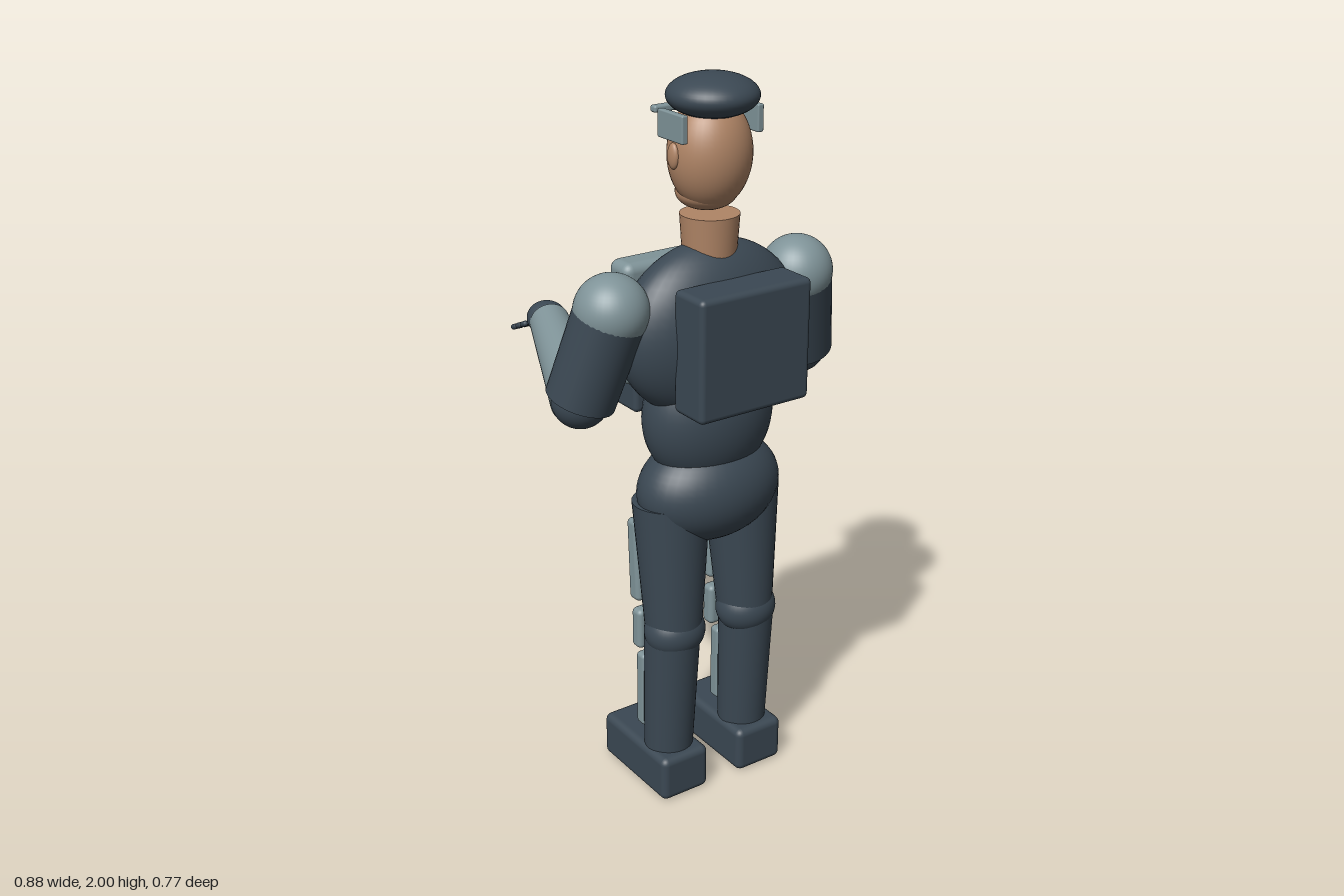
import * as THREE from 'three';
import { RoundedBoxGeometry } from 'three/addons/geometries/RoundedBoxGeometry.js';

const material = (name, color) => {
  const m = new THREE.MeshStandardMaterial({ color });
  m.name = name;
  return m;
};

export function createModel() {
  const model = new THREE.Group();
  model.name = 'armouredSoldier';
  const dark = material('dark slate cloth', 0x3b4853);
  const armour = material('grey armour', 0x7f9398);
  const skin = material('skin', 0xb08566);
  const copper = material('copper tag', 0xa86c40);
  const black = material('black', 0x1d2126);
  const white = material('eye white', 0xc4ccd0);
  const blue = material('iris blue', 0x3f6a86);

  const add = (name, geometry, mat, p = [0, 0, 0], parent = model) => {
    const mesh = new THREE.Mesh(geometry, mat);
    mesh.name = name;
    mesh.position.set(...p);
    parent.add(mesh);
    return mesh;
  };
  const ball = (name, mat, p, r, parent) => {
    const mesh = add(name, new THREE.SphereGeometry(1, 40, 28), mat, p, parent);
    mesh.scale.set(...r);
    return mesh;
  };
  const box = (name, mat, p, s, r = 0.015, parent) =>
    add(name, new RoundedBoxGeometry(...s, 3, r), mat, p, parent);
  // Tapered limb from point a to point b
  const limb = (name, mat, a, b, ra, rb, parent) => {
    const from = new THREE.Vector3(...a), to = new THREE.Vector3(...b);
    const dir = to.clone().sub(from);
    const mesh = add(name, new THREE.CylinderGeometry(rb, ra, dir.length(), 36), mat,
      from.clone().add(to).multiplyScalar(0.5).toArray(), parent);
    mesh.quaternion.setFromUnitVectors(new THREE.Vector3(0, 1, 0), dir.normalize());
    return mesh;
  };

  // Torso; the figure looks towards -z
  ball('chest', dark, [0, 1.345, 0.18], [0.27, 0.235, 0.133]);
  ball('abdomen', dark, [0, 1.11, 0.177], [0.19, 0.2, 0.133]);
  ball('pelvis', dark, [0, 0.9, 0.183], [0.21, 0.15, 0.146]);
  box('backpack', dark, [0, 1.338, 0.325], [0.34, 0.325, 0.122], 0.015);
  box('chestPlate', armour, [0, 1.355, 0.055], [0.4, 0.33, 0.09], 0.025);
  box('chestTag', copper, [0.11, 1.43, 0.008], [0.06, 0.022, 0.009], 0.003);
  for (const x of [-0.115, 0, 0.115])
    box('pouch', dark, [x, 1.175, 0.028], [0.098, 0.145, 0.105], 0.014);

  // Neck and head
  limb('neck', skin, [0, 1.54, 0.178], [0, 1.647, 0.178], 0.07, 0.077);
  const head = new THREE.Group();
  head.name = 'head';
  model.add(head);
  ball('skull', skin, [0, 1.8, 0.176], [0.11, 0.145, 0.103], head);
  ball('jaw', skin, [0, 1.7, 0.163], [0.08, 0.046, 0.079], head);
  ball('noseTip', skin, [0, 1.785, 0.06], [0.017, 0.014, 0.018], head);
  limb('noseBridge', skin, [0, 1.785, 0.068], [0, 1.85, 0.083], 0.013, 0.007, head);
  for (const s of [-1, 1]) {
    ball('ear', skin, [s * 0.109, 1.805, 0.175], [0.012, 0.033, 0.02], head);
    ball('eye', white, [s * 0.04, 1.825, 0.083], [0.018, 0.009, 0.006], head);
    ball('iris', blue, [s * 0.04, 1.825, 0.079], [0.008, 0.008, 0.004], head);
    ball('pupil', black, [s * 0.04, 1.825, 0.076], [0.004, 0.004, 0.002], head);
    const brow = box('eyebrow', black, [s * 0.042, 1.85, 0.084], [0.04, 0.008, 0.009], 0.003, head);
    brow.rotation.y = s * -0.35;
    box('headsetCup', armour, [s * 0.114, 1.88, 0.179], [0.018, 0.07, 0.107], 0.004, head);
  }
  box('mouth', black, [0, 1.722, 0.089], [0.045, 0.006, 0.009], 0.002, head);
  ball('cap', dark, [0, 1.945, 0.186], [0.117, 0.055, 0.117], head);
  box('visor', armour, [0, 1.902, 0.078], [0.21, 0.018, 0.024], 0.006, head);

  // Legs
  for (const s of [-1, 1]) {
    const leg = new THREE.Group();
    leg.name = s > 0 ? 'leftLeg' : 'rightLeg';
    model.add(leg);
    const x = s * 0.12;
    limb('thigh', dark, [s * 0.114, 0.88, 0.173], [x, 0.49, 0.195], 0.105, 0.077, leg);
    ball('knee', dark, [x, 0.5, 0.2], [0.087, 0.075, 0.078], leg);
    limb('shin', dark, [s * 0.125, 0.48, 0.195], [s * 0.127, 0.12, 0.18], 0.077, 0.068, leg);
    box('boot', dark, [s * 0.128, 0.07, 0.117], [0.152, 0.132, 0.31], 0.02, leg);
    const plate = box('thighPlate', armour, [x, 0.69, 0.104], [0.15, 0.24, 0.046], 0.014, leg);
    plate.rotation.x = -0.05;
    box('kneePad', armour, [x, 0.48, 0.11], [0.14, 0.12, 0.042], 0.014, leg);
    box('shinPlate', armour, [s * 0.126, 0.293, 0.126], [0.122, 0.228, 0.04], 0.012, leg);
  }

  // Arms: the right one reaches forward, the left one is bent in front of the chest
  const arms = [
    { s: -1, name: 'rightArm', wrist: [-0.232, 1.282, -0.235], hand: [-0.228, 1.285, -0.255] },
    { s: 1, name: 'leftArm', wrist: [0.273, 1.262, 0.062], hand: [0.257, 1.27, 0.043] },
  ];
  for (const { s, name, wrist, hand } of arms) {
    const arm = new THREE.Group();
    arm.name = name;
    model.add(arm);
    const shoulder = [s * 0.29, 1.44, 0.169], elbow = [s * 0.35, 1.2, 0.112];
    ball('shoulderPad', armour, shoulder, [0.097, 0.097, 0.097], arm);
    limb('upperArm', dark, shoulder, elbow, 0.095, 0.092, arm);
    ball('elbow', dark, elbow, [0.076, 0.076, 0.076], arm);
    limb('forearm', armour, elbow, wrist, 0.078, 0.054, arm);
    ball('hand', dark, hand, [0.054, 0.047, 0.056], arm);
    // Five fingers of three joints each, sloping down and forward
    for (let f = -2; f <= 2; f++) {
      for (let j = 0; j < 3; j++) {
        const joint = add('fingerJoint', new THREE.CapsuleGeometry(0.008, 0.015, 4, 10), dark,
          [hand[0] + f * 0.0168, hand[1] - 0.031 - j * 0.0115, hand[2] - 0.068 - j * 0.0255], arm);
        joint.rotation.x = Math.PI / 2 - 0.42;
      }
    }
  }
  return model;
}
